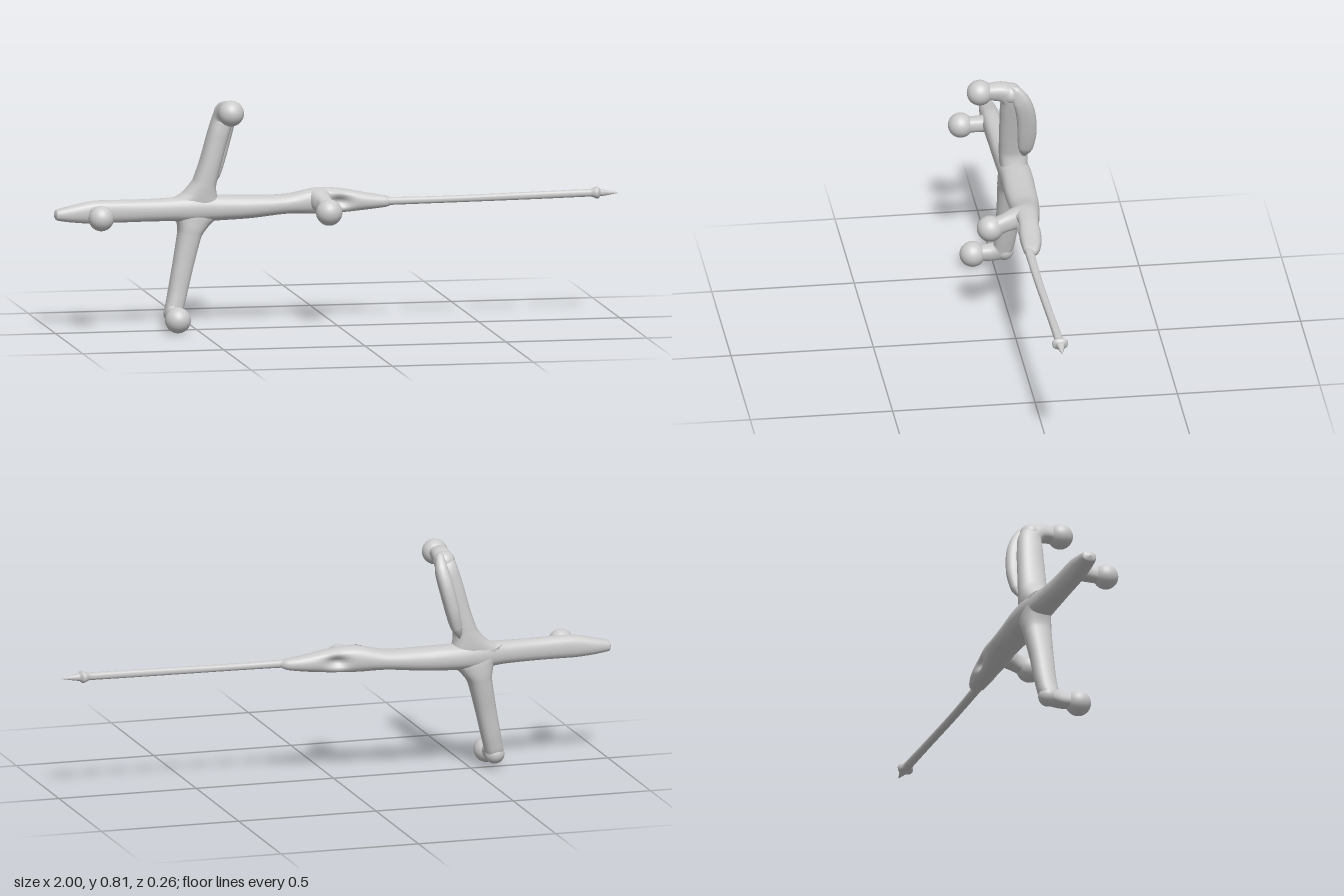
import * as THREE from 'three';

const material = new THREE.MeshStandardMaterial({ color: 0xcccccc, side: THREE.DoubleSide });
const V = (x, y, z) => new THREE.Vector3(x, y, z);

// Smooth loft through sections [x, y, z, halfSide, halfDepth]; 'side' is the fixed side axis.
function loft(name, sections, side, steps = 60, adjust = null) {
  const path = new THREE.CatmullRomCurve3(sections.map(s => V(s[0], s[1], s[2])));
  const size = new THREE.CatmullRomCurve3(sections.map(s => V(s[3], s[4], 0)));
  const N = 28, pos = [], idx = [];
  for (let i = 0; i <= steps; i++) {
    const t = i / steps, c = path.getPoint(t), r = size.getPoint(t), T = path.getTangent(t);
    const depth = T.clone().cross(side).normalize();
    for (let j = 0; j < N; j++) {
      const a = j / N * Math.PI * 2, co = Math.cos(a), si = Math.sin(a);
      // slightly squared oval
      const k = Math.pow(co ** 4 + si ** 4, -0.12);
      const p = c.clone()
        .addScaledVector(side, co * k * Math.max(r.x, 0.0005))
        .addScaledVector(depth, si * k * Math.max(r.y, 0.0005));
      if (adjust) adjust(p, c);
      pos.push(p.x, p.y, p.z);
      if (i < steps) {
        const b = (j + 1) % N, o = i * N, q = o + N;
        idx.push(o + j, o + b, q + b, o + j, q + b, q + j);
      }
    }
  }
  const g = new THREE.BufferGeometry();
  g.setAttribute('position', new THREE.Float32BufferAttribute(pos, 3));
  g.setIndex(idx);
  g.computeVertexNormals();
  const mesh = new THREE.Mesh(g, material);
  mesh.name = name;
  return mesh;
}

function ball(name, x, y, z, r) {
  const mesh = new THREE.Mesh(new THREE.SphereGeometry(r, 32, 20), material);
  mesh.name = name;
  mesh.position.set(x, y, z);
  return mesh;
}

export function createModel() {
  const group = new THREE.Group();
  group.name = 'trackedPointer';
  const up = V(0, 1, 0);

  // Handle with a small hollow near the pointer, front and back
  const hollow = (p, c) => {
    const d = Math.hypot((p.x - 0.01) / 0.045, (p.y - 0.435) / 0.022);
    p.z = c.z + (p.z - c.z) * (1 - 0.6 * Math.exp(-d * d * 1.5));
  };
  group.add(loft('handle', [
    [-1, 0.413, -0.03, 0.001, 0.001],
    [-0.992, 0.413, -0.03, 0.018, 0.025],
    [-0.94, 0.415, -0.03, 0.029, 0.031],
    [-0.85, 0.42, -0.03, 0.04, 0.034],
    [-0.72, 0.42, -0.034, 0.039, 0.036],
    [-0.6, 0.42, -0.042, 0.04, 0.043],
    [-0.5, 0.42, -0.054, 0.046, 0.053],
    [-0.4, 0.42, -0.058, 0.044, 0.055],
    [-0.3, 0.421, -0.055, 0.04, 0.055],
    [-0.18, 0.427, -0.053, 0.034, 0.052],
    [-0.06, 0.437, -0.046, 0.046, 0.046],
    [0.02, 0.436, -0.043, 0.042, 0.042],
    [0.12, 0.431, -0.038, 0.028, 0.036],
    [0.18, 0.43, -0.03, 0.019, 0.027],
    [0.21, 0.43, -0.022, 0.006, 0.008],
  ], up, 130, hollow));

  // Long thin pointer with a sharp tip
  group.add(loft('pointer', [
    [0.14, 0.431, -0.022, 0.014, 0.016],
    [0.4, 0.432, -0.022, 0.012, 0.014],
    [0.7, 0.436, -0.027, 0.013, 0.013],
    [0.9, 0.439, -0.031, 0.013, 0.015],
    [0.935, 0.439, -0.031, 0.013, 0.015],
    [0.965, 0.438, -0.03, 0.008, 0.009],
    [1, 0.437, -0.028, 0.001, 0.001],
  ], up));

  // Crossing arms: flared at the handle, bent forward at the end
  group.add(loft('upperArm', [
    [-0.485, 0.42, -0.055, 0.11, 0.045],
    [-0.475, 0.46, -0.055, 0.066, 0.049],
    [-0.462, 0.51, -0.053, 0.041, 0.05],
    [-0.442, 0.58, -0.05, 0.037, 0.049],
    [-0.415, 0.68, -0.046, 0.037, 0.046],
    [-0.398, 0.74, -0.038, 0.036, 0.041],
    [-0.393, 0.766, -0.005, 0.033, 0.034],
    [-0.392, 0.768, 0.065, 0.026, 0.026],
  ], V(0.965, -0.26, 0).normalize()));
  group.add(loft('lowerArm', [
    [-0.49, 0.43, -0.055, 0.11, 0.045],
    [-0.502, 0.38, -0.056, 0.064, 0.05],
    [-0.515, 0.33, -0.054, 0.042, 0.049],
    [-0.54, 0.22, -0.046, 0.036, 0.041],
    [-0.564, 0.11, -0.038, 0.033, 0.037],
    [-0.575, 0.065, -0.028, 0.032, 0.035],
    [-0.578, 0.052, 0.0, 0.029, 0.03],
    [-0.58, 0.049, 0.06, 0.025, 0.025],
  ], V(0.975, -0.22, 0).normalize()));
  group.add(ball('upperElbow', -0.393, 0.757, -0.036, 0.038));
  group.add(ball('lowerElbow', -0.576, 0.055, -0.036, 0.034));

  // Rounded ridge along the back of the upper arm
  group.add(loft('armRidge', [
    [-0.435, 0.49, -0.085, 0.004, 0.006],
    [-0.42, 0.53, -0.09, 0.019, 0.026],
    [-0.402, 0.6, -0.093, 0.024, 0.034],
    [-0.383, 0.68, -0.086, 0.025, 0.034],
    [-0.372, 0.735, -0.069, 0.023, 0.031],
    [-0.372, 0.775, -0.045, 0.016, 0.022],
    [-0.375, 0.79, -0.03, 0.002, 0.004],
  ], V(0.965, -0.26, 0).normalize()));

  // Necks joining the handle markers
  group.add(loft('endNeck', [
    [-0.85, 0.418, -0.03, 0.03, 0.04],
    [-0.85, 0.415, 0.01, 0.027, 0.029],
    [-0.85, 0.413, 0.07, 0.026, 0.026],
  ], up, 20));
  group.add(loft('gripNeck', [
    [-0.06, 0.448, -0.04, 0.036, 0.05],
    [-0.057, 0.44, -0.002, 0.036, 0.036],
    [-0.05, 0.428, 0.035, 0.033, 0.028],
    [-0.046, 0.414, 0.075, 0.032, 0.03],
  ], up, 24));

  // Four spherical markers
  [[-0.392, 0.768, 0.074, 0.045], [-0.58, 0.046, 0.074, 0.045],
    [-0.853, 0.412, 0.079, 0.044], [-0.046, 0.412, 0.084, 0.046]]
    .forEach(m => group.add(ball('markerBall', ...m)));
  return group;
}
